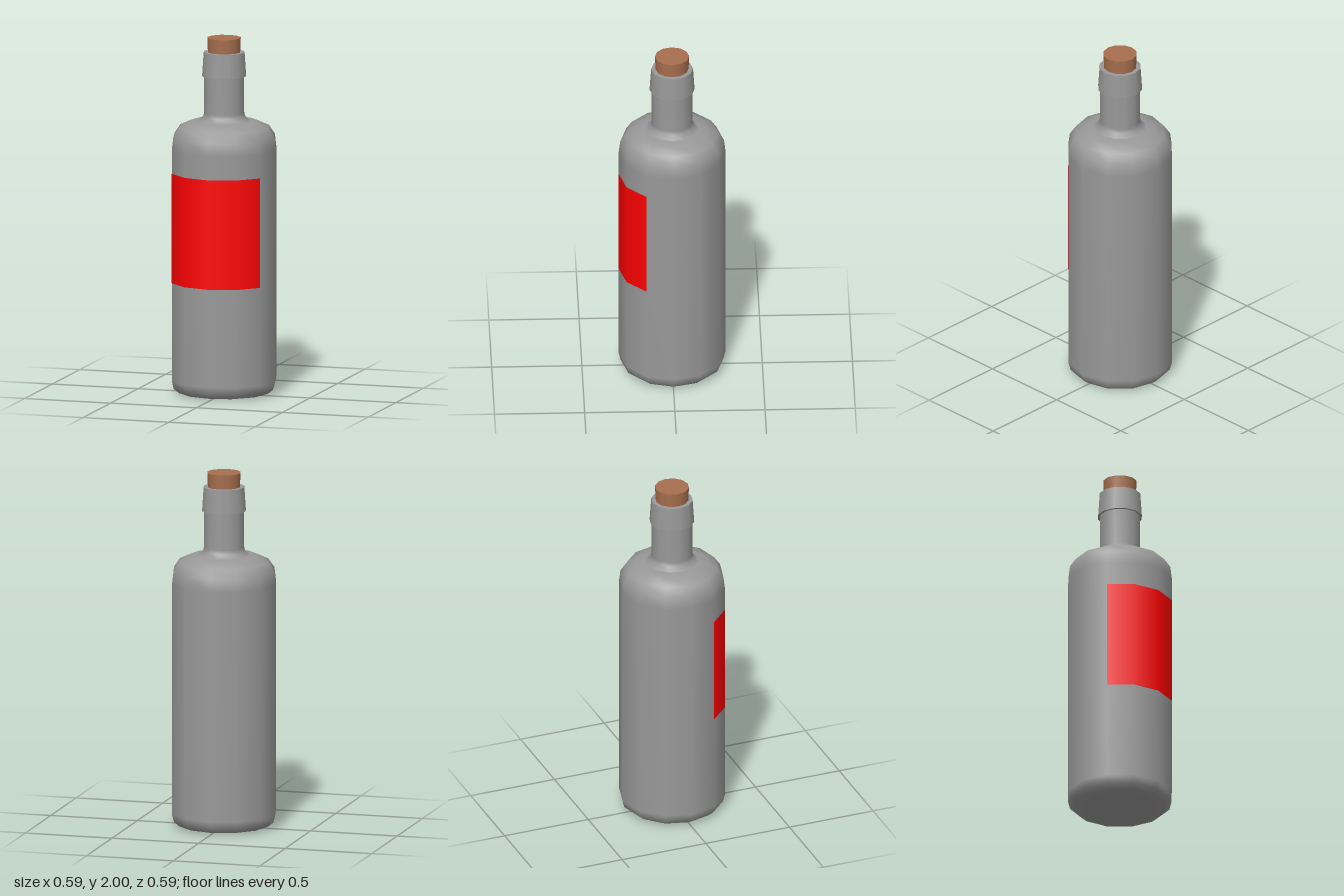
import * as THREE from 'three';

const SIDES = 12;

// Turns a bottom-to-top profile of [radius, height] pairs around the y axis
function turned(name, profile, material, segments = SIDES, start = 0, sweep = Math.PI * 2) {
  const points = profile.map(([r, y]) => new THREE.Vector2(r, y));
  const mesh = new THREE.Mesh(new THREE.LatheGeometry(points, segments, start, sweep), material);
  mesh.name = name;
  return mesh;
}

export function createModel() {
  const glass = new THREE.MeshStandardMaterial({ color: 0x999999 });
  const corkMaterial = new THREE.MeshStandardMaterial({ color: 0xa76f4e });
  const labelMaterial = new THREE.MeshStandardMaterial({ color: 0xff0000, side: THREE.DoubleSide });

  const bottle = new THREE.Group();
  bottle.name = 'bottle';

  // Body with rounded base and shoulder, flowing into the neck
  bottle.add(turned('body', [
    [0, 0], [0.2, 0], [0.255, 0.01], [0.285, 0.035], [0.2965, 0.08],
    [0.2965, 1.38], [0.288, 1.45], [0.255, 1.5], [0.195, 1.528],
    [0.15, 1.536], [0.138, 1.535], [0.119, 1.558], [0.114, 1.58], [0.114, 1.8],
  ], glass));

  // Collar: separate rings keep its edges sharp
  const collar = new THREE.Group();
  collar.name = 'collar';
  collar.add(
    turned('collarUnderside', [[0.11, 1.786], [0.125, 1.786]], glass),
    turned('collarSide', [[0.125, 1.786], [0.116, 1.92]], glass),
    turned('collarTop', [[0.116, 1.92], [0.085, 1.92]], glass),
  );
  bottle.add(collar);

  // Slightly tapered cork
  const cork = new THREE.Mesh(new THREE.CylinderGeometry(0.095, 0.09, 0.12, SIDES), corkMaterial);
  cork.name = 'cork';
  cork.position.y = 1.94;
  bottle.add(cork);

  // Label wrapping the front third of the body
  bottle.add(turned('label', [[0.2972, 0.63], [0.2972, 1.245]], labelMaterial,
    SIDES / 3, -Math.PI / 3, Math.PI * 2 / 3));

  return bottle;
}
